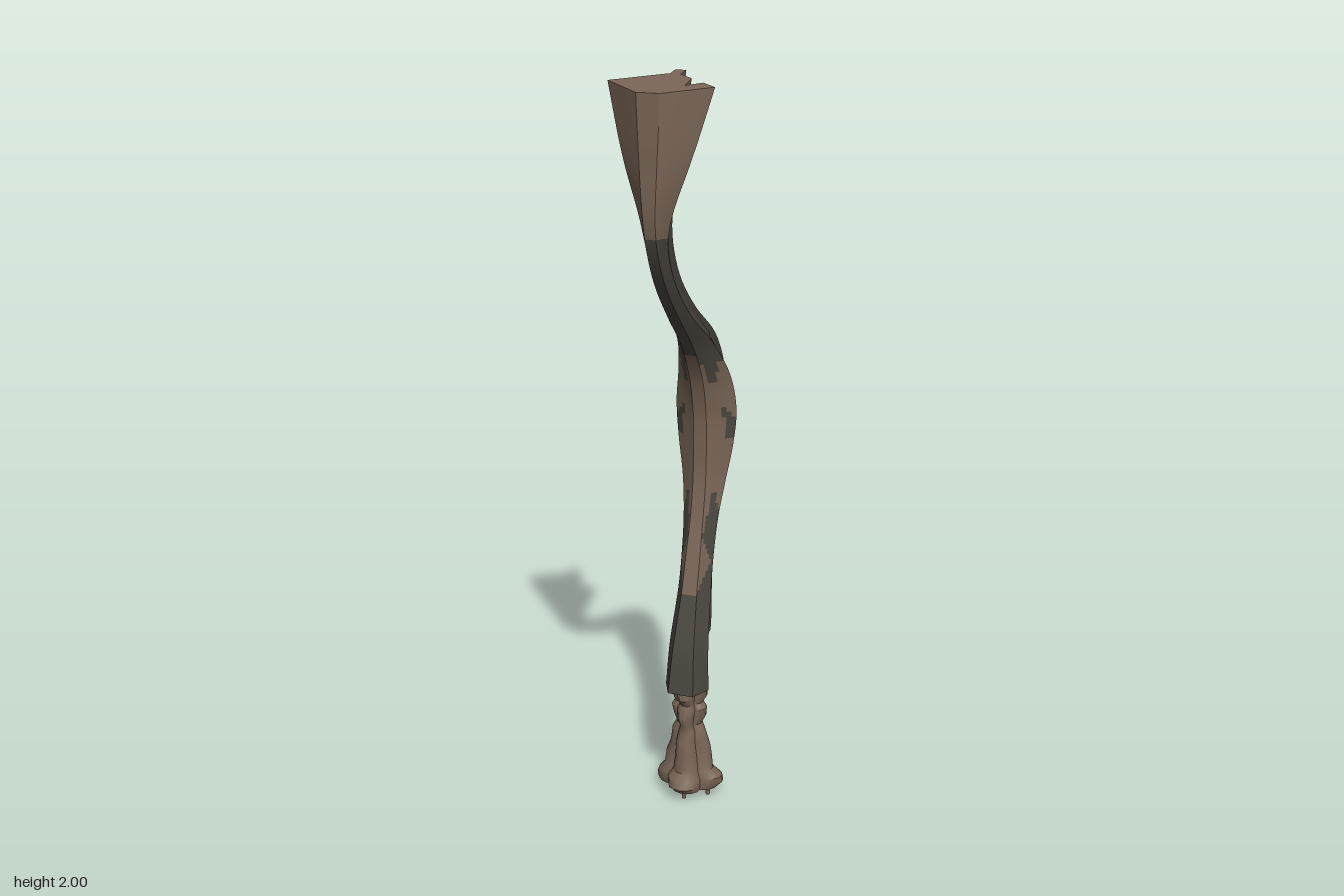
import * as THREE from 'three';
import { toCreasedNormals } from 'three/addons/utils/BufferGeometryUtils.js';

// Rows from bottom to top: y, front z, widest z, back z, rib z, half width, front half width
const ROWS = [
  [0.33, 0.055, 0.0, -0.07, -0.07, 0.062, 0.036],
  [0.45, 0.032, -0.015, -0.07, -0.145, 0.056, 0.03],
  [0.60, -0.015, -0.06, -0.11, -0.155, 0.047, 0.022],
  [0.70, -0.045, -0.085, -0.13, -0.175, 0.046, 0.02],
  [0.80, -0.075, -0.11, -0.155, -0.2, 0.05, 0.018],
  [0.90, -0.095, -0.135, -0.19, -0.24, 0.062, 0.018],
  [1.00, -0.1, -0.148, -0.21, -0.26, 0.078, 0.018],
  [1.10, -0.095, -0.15, -0.218, -0.265, 0.085, 0.018],
  [1.20, -0.065, -0.13, -0.2, -0.242, 0.072, 0.018],
  [1.30, 0.0, -0.06, -0.13, -0.165, 0.049, 0.016],
  [1.40, 0.1, 0.06, 0.01, -0.02, 0.032, 0.015],
  [1.50, 0.19, 0.155, 0.115, 0.09, 0.027, 0.014],
  [1.60, 0.245, 0.21, 0.17, 0.145, 0.029, 0.014],
  [1.68, 0.262, 0.22, 0.175, 0.148, 0.044, 0.016],
  [1.80, 0.265, 0.21, 0.15, 0.12, 0.085, 0.022],
  [1.97, 0.262, 0.18, 0.09, 0.052, 0.138, 0.03],
];

// Smooth cubic lookup of one column at height y
function at(y, col) {
  let i = 0;
  while (i < ROWS.length - 2 && y > ROWS[i + 1][0]) i++;
  const slope = (k) => {
    const a = ROWS[Math.max(k - 1, 0)], b = ROWS[Math.min(k + 1, ROWS.length - 1)];
    return (b[col] - a[col]) / (b[0] - a[0]);
  };
  const [p, q] = [ROWS[i], ROWS[i + 1]], h = q[0] - p[0], t = (y - p[0]) / h;
  const t2 = t * t, t3 = t2 * t;
  return (2 * t3 - 3 * t2 + 1) * p[col] + (t3 - 2 * t2 + t) * h * slope(i)
    + (3 * t2 - 2 * t3) * q[col] + (t3 - t2) * h * slope(i + 1);
}

// The top end rises towards the back
const lift = (y, z) => y + Math.max(0, (y - 1.85) / 0.12) * 0.03 * Math.min(1, (0.262 - z) / 0.21);

const SUB = 6;
// Six-sided section; a runs 0 at the front, 1 at the side edge, 2 at the back
function bodyRing(y) {
  const [front, side, back, w, f] = [1, 2, 3, 5, 6].map((c) => at(y, c));
  const b = y < 0.5 ? 0.034 : Math.max(0.016, 0.034 - (y - 0.5) * 0.09);
  const skew = y > 1.6 ? (y - 1.6) * 0.027 : 0;
  const corners = [[-f, front, 0], [f, front, 0], [w, side + skew, 1], [b, back, 2], [-b, back, 2], [-w, side - skew, 1]];
  const ring = [];
  corners.forEach((p, k) => {
    const q = corners[(k + 1) % 6];
    for (let j = 0; j < SUB; j++) {
      const t = j / SUB;
      let x = p[0] + (q[0] - p[0]) * t, z = p[1] + (q[1] - p[1]) * t;
      // crack in the left rear edge of the flared end
      if (k === 2 && j === 3 && y > 1.88) {
        const d = (y - 1.88) / 0.09;
        x -= 0.014 * d;
        z += 0.045 * d;
      }
      ring.push({ x, y: lift(y, z), z, a: p[2] + (q[2] - p[2]) * t });
    }
  });
  return ring;
}

// Diamond patches: a, y, half extent in a, half extent in y
const PATCHES = [
  [0, 1.0, 0.8, 0.27], [0.85, 1.16, 0.6, 0.09], [0.9, 0.92, 0.7, 0.1], [0, 0.68, 0.85, 0.08],
  [1.5, 1.21, 0.45, 0.12], [1.5, 0.95, 0.45, 0.13], [1.4, 0.74, 0.4, 0.1], [1.5, 0.53, 0.35, 0.07],
];
function isBrown(x, y, a) {
  if (y > 1.63) return a < 1.02 || (y > 1.66 && a < (x > 0 ? 1.8 : 1.5));
  return PATCHES.some(([pa, py, ra, ry]) => Math.abs(a - pa) / ra + Math.abs(y - py) / ry < 1);
}

// Skin between rings with both ends capped, sorted into two material groups
function loft(rings, brown) {
  const lists = [[], []];
  const add = (list, ...pts) => pts.forEach((p) => list.push(p.x, p.y, p.z));
  for (let i = 0; i < rings.length - 1; i++) {
    const n = rings[i].length;
    for (let j = 0; j < n; j++) {
      const k = (j + 1) % n;
      const [p, q, r, s] = [rings[i][j], rings[i][k], rings[i + 1][k], rings[i + 1][j]];
      const mid = (key) => (p[key] + q[key] + r[key] + s[key]) / 4;
      add(lists[brown(mid('x'), mid('y'), mid('a')) ? 1 : 0], p, q, r, p, r, s);
    }
  }
  [rings[0], rings[rings.length - 1]].forEach((ring, end) => {
    const flat = ring.map((p) => new THREE.Vector2(p.x, -p.z));
    const list = lists[brown(0, ring[0].y, 0) ? 1 : 0];
    THREE.ShapeUtils.triangulateShape(flat, []).forEach(([a, b, c]) => {
      const [A, B, C] = [flat[a], flat[b], flat[c]];
      const ccw = (B.x - A.x) * (C.y - A.y) - (B.y - A.y) * (C.x - A.x) > 0;
      if (ccw === (end === 1)) add(list, ring[a], ring[b], ring[c]);
      else add(list, ring[a], ring[c], ring[b]);
    });
  });
  const geo = new THREE.BufferGeometry();
  geo.setAttribute('position', new THREE.Float32BufferAttribute([...lists[0], ...lists[1]], 3));
  geo.addGroup(0, lists[0].length / 3, 0);
  geo.addGroup(lists[0].length / 3, lists[1].length / 3, 1);
  return toCreasedNormals(geo, 0.6);
}

const heights = (from, to, n) => Array.from({ length: n + 1 }, (_, i) => from + ((to - from) * i) / n);

export function createModel() {
  const group = new THREE.Group();
  const dark = new THREE.MeshStandardMaterial({ name: 'dark bark', color: 0x4a463f });
  const brown = new THREE.MeshStandardMaterial({ name: 'brown wood', color: 0x786455 });
  const add = (name, geo, mat) => {
    const mesh = new THREE.Mesh(geo, mat);
    mesh.name = name;
    group.add(mesh);
    return mesh;
  };

  // Curved body with the flared top
  add('curvedBody', loft(heights(0.33, 1.97, 110).map(bodyRing), isBrown), [dark, brown]);

  // Thin rib along the back
  const ribRings = heights(0.44, 1.97, 70).map((y) => {
    const r = at(Math.max(y, 0.45), 4), b = at(y, 3) + 0.012, h = 0.014, c = 0.003;
    return [[c - h, b], [c + h, b], [c + h, r], [c - h, r]]
      .map(([x, z]) => ({ x, y: lift(y, z), z, a: 2 }));
  });
  add('backRib', loft(ribRings, (x, y) => y > 1.955), [dark, brown]);

  // Knotted four-lobed foot: y, x radius, z radius
  const FOOT = [
    [0.03, 0.085, 0.075], [0.045, 0.096, 0.084], [0.065, 0.092, 0.08], [0.085, 0.07, 0.066],
    [0.12, 0.066, 0.06], [0.15, 0.058, 0.055], [0.175, 0.052, 0.056], [0.2, 0.047, 0.047],
    [0.22, 0.036, 0.046], [0.245, 0.046, 0.054], [0.27, 0.05, 0.052], [0.285, 0.04, 0.045],
    [0.305, 0.05, 0.055], [0.34, 0.05, 0.052],
  ];
  const footRings = FOOT.map(([y, rx, rz], i) => Array.from({ length: 32 }, (_, j) => {
    const t = (j / 32) * Math.PI * 2;
    const r = 0.7 + 0.3 * Math.abs(Math.cos(2 * t)) + 0.04 * Math.sin(3 * t + i * 1.7);
    return { x: Math.sin(t) * rx * r + 0.003, y, z: Math.cos(t) * rz * r - 0.012, a: 0 };
  }));
  add('knottedFoot', loft(footRings, () => true), [dark, brown]);

  // Small pins under the foot
  [[-0.052, -0.01], [0.058, -0.01], [0.003, 0.033], [0.003, -0.055]].forEach(([x, z]) => {
    add('footPin', new THREE.CylinderGeometry(0.008, 0.006, 0.04, 8), brown).position.set(x, 0.02, z);
  });
  return group;
}
